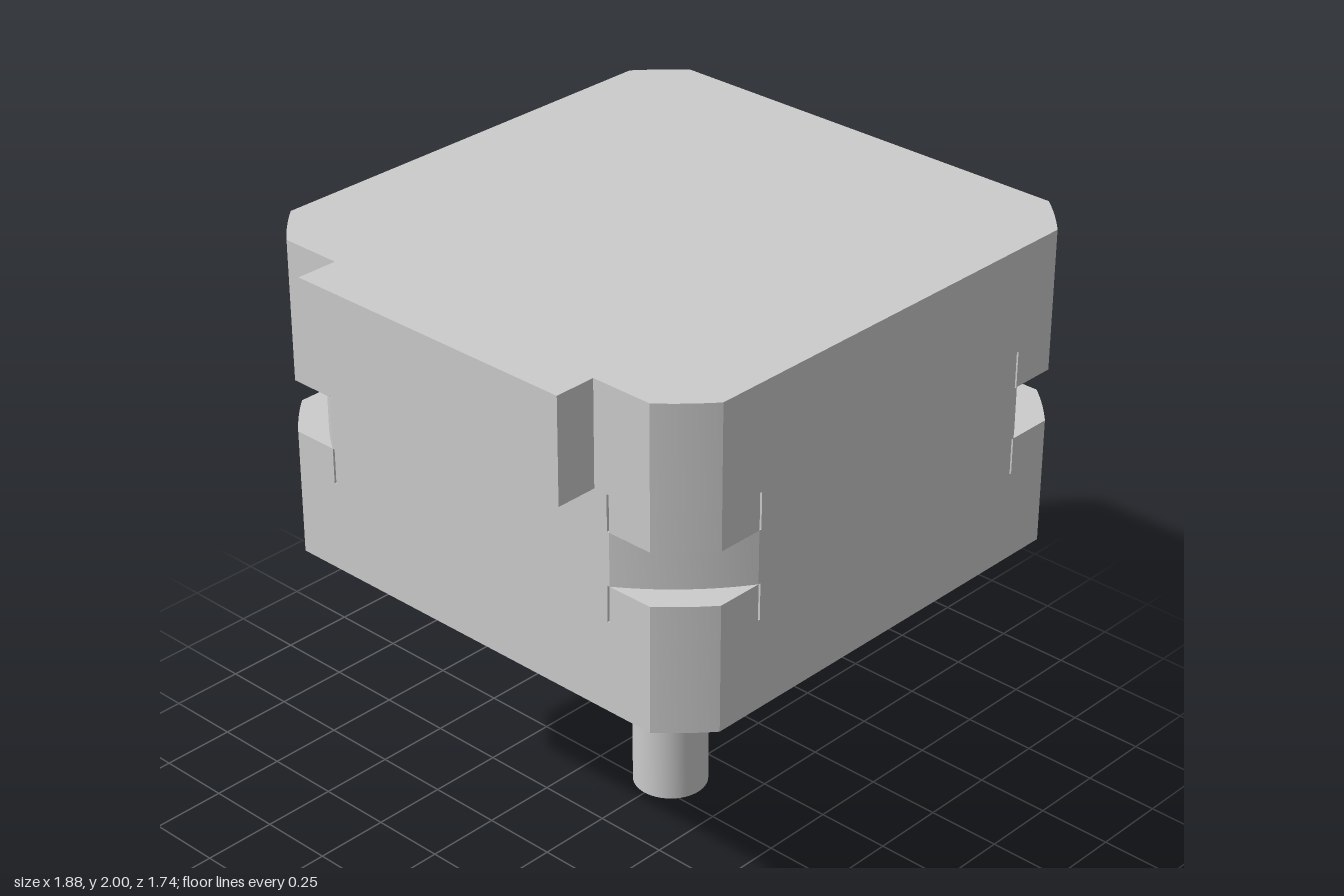
import * as THREE from 'three';
import { toCreasedNormals } from 'three/addons/utils/BufferGeometryUtils.js';

const CX = 0.07;   // motor axis
const HALF = 0.87; // half width of the square body
const material = new THREE.MeshStandardMaterial({ color: 0xcccccc });

// Square whose corners are cut by a circle of the given radius, optionally with fine slits
function squareOutline(radius, slits = false) {
  const pts = [];
  const a0 = Math.acos(HALF / radius);
  const steps = 12;
  for (let side = 0; side < 4; side++) {
    const turn = (x, y) =>
      pts.push(new THREE.Vector2(x, y).rotateAround(new THREE.Vector2(), side * Math.PI / 2));
    const slit = [[HALF, 0.567], [HALF - 0.03, 0.567], [HALF - 0.03, 0.575], [HALF, 0.575]];
    if (slits) slit.forEach(([x, y]) => turn(x, y));
    for (let i = 0; i <= steps; i++) {
      const a = a0 + (Math.PI / 2 - 2 * a0) * i / steps;
      turn(radius * Math.cos(a), radius * Math.sin(a));
    }
    if (slits) slit.reverse().forEach(([x, y]) => turn(y, x));
  }
  return new THREE.Shape(pts);
}

// Extrude an outline upward from y0 to y1
function slab(name, shape, y0, y1) {
  const geo = new THREE.ExtrudeGeometry(shape, { depth: y1 - y0, bevelEnabled: false, curveSegments: 24 });
  geo.rotateX(-Math.PI / 2);
  const mesh = new THREE.Mesh(toCreasedNormals(geo, 0.45), material);
  mesh.name = name;
  mesh.position.set(CX, y0, 0);
  return mesh;
}

function disc(name, radius, y0, y1) {
  const mesh = new THREE.Mesh(new THREE.CylinderGeometry(radius, radius, y1 - y0, 64), material);
  mesh.name = name;
  mesh.position.set(CX, (y0 + y1) / 2, 0);
  return mesh;
}

export function createModel() {
  const model = new THREE.Group();
  model.name = 'motor';

  // Body layers: mounting face with screw holes, casing, slotted corners, casing
  const outer = 1.136, inner = 1.043;
  const face = squareOutline(outer);
  for (const sx of [-1, 1]) for (const sy of [-1, 1]) {
    face.holes.push(new THREE.Path().absarc(sx * 0.637, sy * 0.637, 0.066, 0, Math.PI * 2, true));
  }
  const body = new THREE.Group();
  body.name = 'body';
  body.add(
    slab('mountingFace', face, 0.94, 1.12),
    slab('lowerCasing', squareOutline(outer), 1.12, 1.24),
    slab('lowerSlitCasing', squareOutline(outer, true), 1.24, 1.36),
    slab('cornerSlots', squareOutline(inner), 1.36, 1.535),
    slab('upperSlitCasing', squareOutline(outer, true), 1.535, 1.655),
    slab('upperCasing', squareOutline(outer), 1.655, 2),
  );
  model.add(body);

  // Connector block on the side
  const connector = new THREE.Mesh(new THREE.BoxGeometry(0.14, 0.345, 1.04), material);
  connector.name = 'connector';
  connector.position.set(-0.87, 1.8275, 0);
  model.add(connector);

  // Pilot flange and output shaft
  const r = 0.123;
  model.add(disc('pilotFlange', 0.543, 0.84, 0.94));
  model.add(disc('shaft', r, 0.5, 0.84));

  // Shaft tip with a flat on +x
  const a = Math.acos(0.1 / r);
  const tip = new THREE.Shape().absarc(0, 0, r, a, Math.PI * 2 - a, false);
  tip.closePath();
  model.add(slab('shaftTip', tip, 0, 0.5));

  return model;
}
